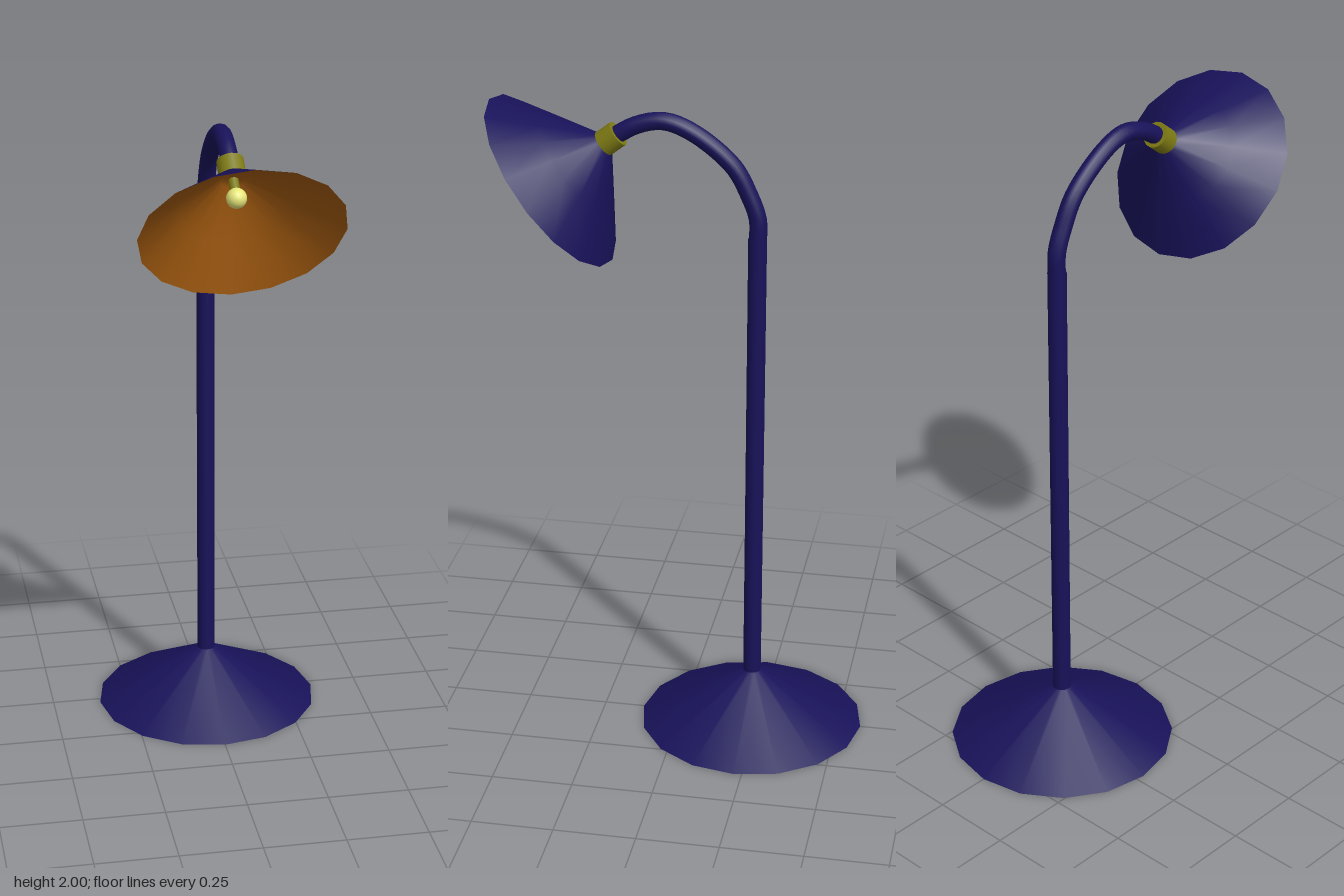
import * as THREE from 'three';

export function createModel() {
  const model = new THREE.Group();
  const paint = (color, side = THREE.FrontSide) => new THREE.MeshStandardMaterial({ color, side });
  const navy = paint(0x181259);
  const brass = paint(0x7d7a14);
  const orange = paint(0xa0590f);
  const glow = paint(0xe6e67a);

  const add = (parent, name, geometry, material, x = 0, y = 0, z = 0) => {
    const mesh = new THREE.Mesh(geometry, material);
    mesh.name = name;
    mesh.position.set(x, y, z);
    parent.add(mesh);
    return mesh;
  };
  const lathe = (points) =>
    new THREE.LatheGeometry(points.map(([r, y]) => new THREE.Vector2(r, y)), 16);

  // Foot and upright, set back from the centre
  const postZ = -0.225;
  add(model, 'base', new THREE.CylinderGeometry(0.028, 0.35, 0.175, 16), navy, 0, 0.0875, postZ);
  add(model, 'post', new THREE.CylinderGeometry(0.028, 0.028, 1.46, 16), navy, 0, 0.89, postZ);

  // Bent neck from the post top to the lamp holder
  const neckPath = new THREE.CatmullRomCurve3([
    [1.6, postZ], [1.68, postZ], [1.755, -0.198], [1.84, -0.15],
    [1.935, -0.03], [1.964, 0.055], [1.948, 0.135], [1.905, 0.21],
  ].map(([y, z]) => new THREE.Vector3(0, y, z)));
  add(model, 'neck', new THREE.TubeGeometry(neckPath, 32, 0.027, 12), navy);

  // Head, tilted about the centre of the shade's rim
  const head = new THREE.Group();
  head.name = 'head';
  head.position.set(0, 1.764, 0.3925);
  head.rotation.x = -0.918;
  model.add(head);

  add(head, 'shadeOuter', lathe([[0.299, 0], [0.17, 0.1], [0.04, 0.2]]), navy);
  add(head, 'shadeLining', lathe([[0, 0.188], [0.036, 0.188], [0.17, 0.091], [0.299, 0]]), orange);
  add(head, 'socket', new THREE.CylinderGeometry(0.04, 0.04, 0.062, 16), brass, 0, 0.224, 0);
  add(head, 'bulb', new THREE.SphereGeometry(0.03, 16, 12), glow, 0, 0.125, 0);
  add(head, 'bulbStem', new THREE.CylinderGeometry(0.015, 0.015, 0.06, 12), brass, 0, 0.165, 0);

  return model;
}
